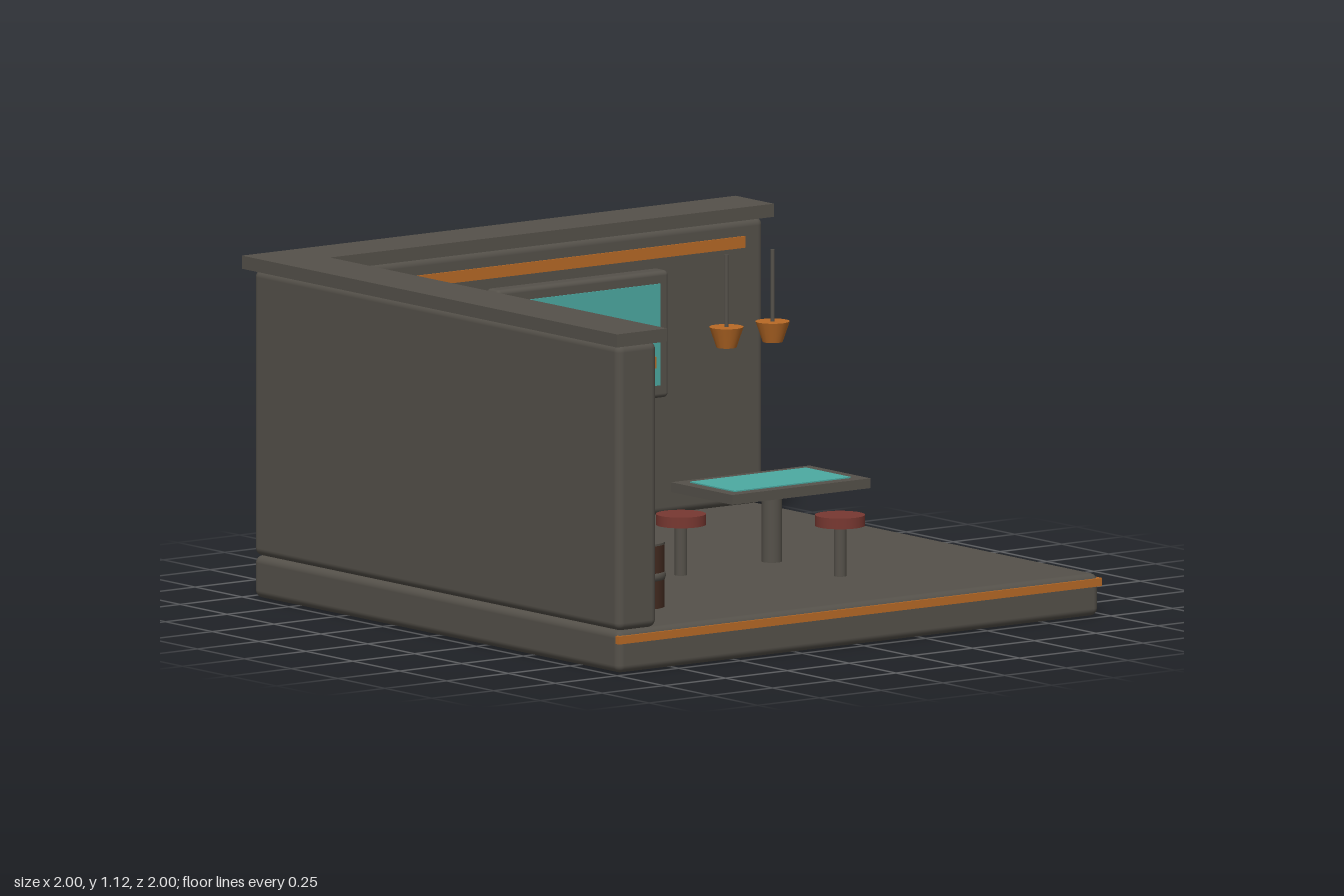
import * as THREE from 'three';
import { RoundedBoxGeometry } from 'three/addons/geometries/RoundedBoxGeometry.js';

export function createModel() {
  const model = new THREE.Group();
  model.name = 'diningRoomCorner';

  const mat = (name, color) => {
    const m = new THREE.MeshStandardMaterial({ color });
    m.name = name;
    return m;
  };
  const grey = mat('warmGrey', 0x55514a);
  const teal = mat('screenTeal', 0x4caaa2);
  const orange = mat('signalOrange', 0xb86a26);
  const brown = mat('darkBrown', 0x452c21);
  const red = mat('seatRed', 0x783831);

  const add = (parent, name, geometry, material, x = 0, y = 0, z = 0) => {
    const mesh = new THREE.Mesh(geometry, material);
    mesh.name = name;
    mesh.position.set(x, y, z);
    parent.add(mesh);
    return mesh;
  };
  // Boxes are given by their extents on each axis; a radius rounds the edges
  const box = (parent, name, material, [x0, x1], [y0, y1], [z0, z1], radius = 0) => {
    const w = x1 - x0, h = y1 - y0, d = z1 - z0;
    const geometry = radius ? new RoundedBoxGeometry(w, h, d, 4, radius) : new THREE.BoxGeometry(w, h, d);
    return add(parent, name, geometry, material, (x0 + x1) / 2, (y0 + y1) / 2, (z0 + z1) / 2);
  };
  // Cylinders are given by their bottom and top heights
  const cylinder = (parent, name, material, rTop, rBottom, y0, y1, x = 0, z = 0, sides = 32) =>
    add(parent, name, new THREE.CylinderGeometry(rTop, rBottom, y1 - y0, sides), material, x, (y0 + y1) / 2, z);
  const group = (name, x = 0, z = 0) => {
    const g = new THREE.Group();
    g.name = name;
    g.position.set(x, 0, z);
    model.add(g);
    return g;
  };

  const floor = 0.138;

  // Floor slab with trim on its two open edges
  box(model, 'floorSlab', grey, [-0.975, 0.975], [0, floor], [-0.975, 0.975], 0.025);
  box(model, 'frontTrim', orange, [-0.978, 0.978], [0.097, 0.123], [0.962, 0.981]);
  box(model, 'rightTrim', orange, [0.962, 0.981], [0.097, 0.123], [-0.978, 0.978]);

  // Two walls and the ledges on top of them
  box(model, 'leftWall', grey, [-0.975, -0.815], [floor, 1.072], [-0.975, 0.975], 0.025);
  box(model, 'backWall', grey, [-0.815, 0.975], [floor, 1.072], [-0.975, -0.815], 0.025);
  box(model, 'backLedge', grey, [-1, 1], [1.072, 1.115], [-1, -0.797]);
  box(model, 'leftLedge', grey, [-1, -0.797], [1.072, 1.115], [-0.797, 1]);

  // Wall stripes and poster
  box(model, 'backStripe', orange, [-0.665, 0.895], [0.98, 1.018], [-0.817, -0.809]);
  box(model, 'leftStripe', orange, [-0.817, -0.809], [0.98, 1.018], [-0.77, 0.96]);
  box(model, 'poster', orange, [-0.817, -0.809], [0.56, 0.838], [-0.232, 0.143]);

  // Wall screen
  const screen = group('wallScreen');
  box(screen, 'screenFrame', grey, [-0.165, 0.53], [0.537, 0.952], [-0.803, -0.735], 0.015);
  box(screen, 'screenPanel', teal, [-0.12, 0.49], [0.58, 0.912], [-0.738, -0.731]);

  // Rounded cabinet with a small display
  const cabinet = group('cabinet');
  box(cabinet, 'cabinetBody', brown, [-0.7, -0.42], [floor, 0.742], [-0.652, -0.372], 0.03);
  box(cabinet, 'cabinetDisplay', teal, [-0.655, -0.465], [0.51, 0.655], [-0.375, -0.367]);

  // Table on a single column, with a glowing top
  const table = group('table');
  box(table, 'tableTop', grey, [0, 0.56], [0.37, 0.402], [-0.028, 0.298]);
  box(table, 'tablePanel', teal, [0.042, 0.512], [0.399, 0.406], [0.017, 0.255]);
  cylinder(table, 'tableLeg', grey, 0.033, 0.033, floor, 0.37, 0.28, 0.14);

  // Stools
  for (const [x, z] of [[-0.12, 0.182], [0.277, 0.508]]) {
    const stool = group('stool', x, z);
    cylinder(stool, 'stoolLeg', grey, 0.02, 0.02, floor, 0.305);
    cylinder(stool, 'stoolSeat', red, 0.081, 0.081, 0.303, 0.338);
  }

  // Barrel with a hoop, a lid and a stopper
  const barrel = group('barrel', -0.607, 0.603);
  cylinder(barrel, 'barrelBody', brown, 0.081, 0.081, floor, 0.345);
  cylinder(barrel, 'barrelLid', grey, 0.082, 0.082, 0.343, 0.35);
  cylinder(barrel, 'barrelStopper', grey, 0.043, 0.043, 0.348, 0.376);
  add(barrel, 'barrelHoop', new THREE.TorusGeometry(0.066, 0.02, 10, 32), grey, 0, 0.241, 0).rotation.x = Math.PI / 2;

  // Hanging lamps
  for (const x of [0.415, 0.602]) {
    const lamp = group('hangingLamp', x, -0.28);
    cylinder(lamp, 'lampRod', grey, 0.007, 0.007, 0.83, 1.072, 0, 0, 10);
    cylinder(lamp, 'lampShade', orange, 0.056, 0.033, 0.77, 0.837, 0, 0, 16);
  }

  return model;
}
